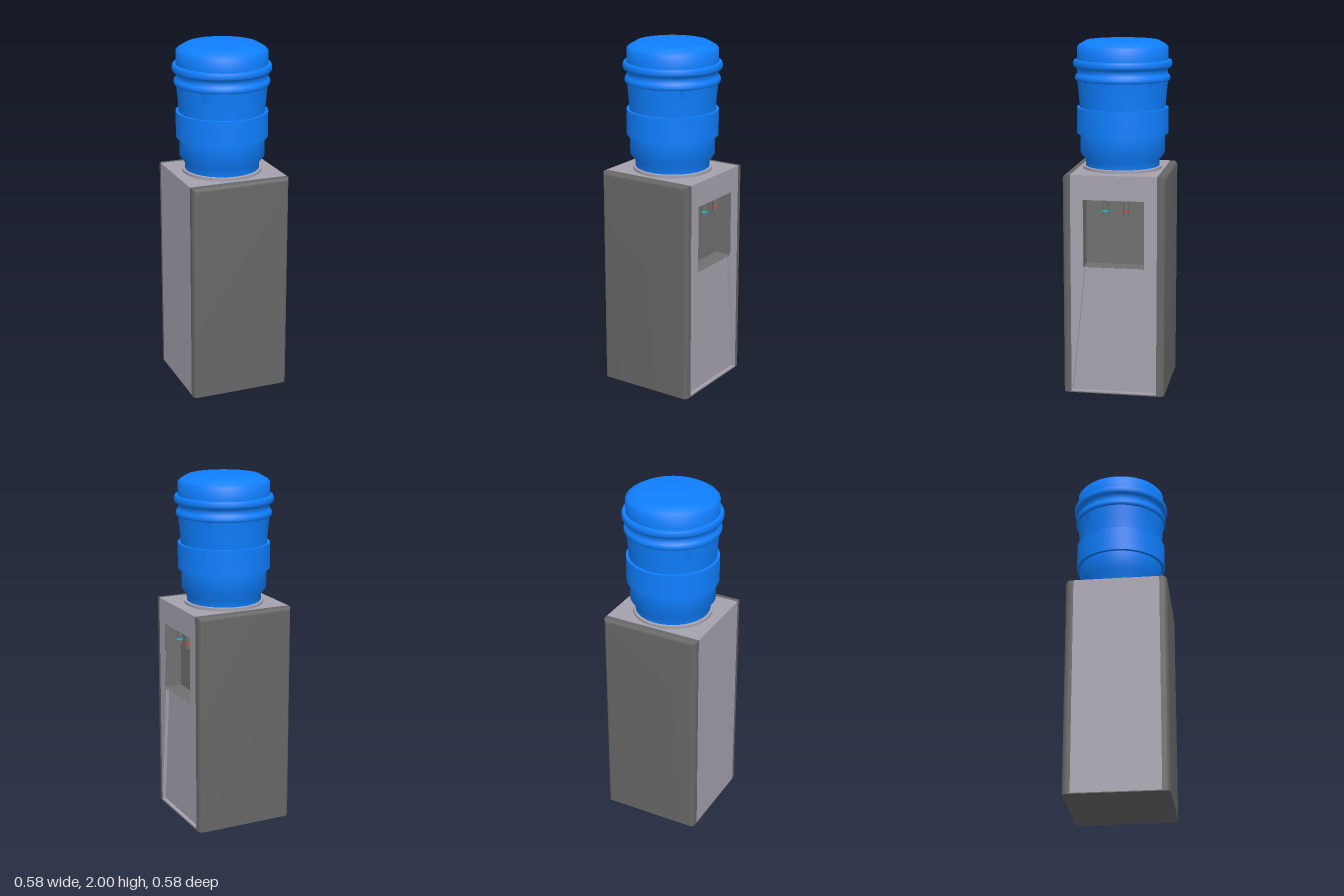
import * as THREE from 'three';
import { toCreasedNormals } from 'three/addons/utils/BufferGeometryUtils.js';

const material = (color) => new THREE.MeshStandardMaterial({ color });

function rectPath(Type, halfW, y0, y1) {
  return trapezoid(Type, halfW, halfW, y0, y1);
}

function trapezoid(Type, bottomHalf, topHalf, y0, y1) {
  const p = new Type();
  p.moveTo(-bottomHalf, y0);
  p.lineTo(bottomHalf, y0);
  p.lineTo(topHalf, y1);
  p.lineTo(-topHalf, y1);
  p.closePath();
  return p;
}

// Plate facing +x, from x0 to x1, with cut-outs
function plate(shape, holes, x0, x1) {
  shape.holes.push(...holes);
  const g = new THREE.ExtrudeGeometry(shape, { depth: x1 - x0, bevelEnabled: false });
  return g.rotateY(Math.PI / 2).translate(x0, 0, 0);
}

// Side panel: sections along z, drawn in at the vertical and top edges
function sidePanelGeometry() {
  const sections = [[0.245, 0], [0.266, 0], [0.276, 0.003], [0.284, 0.009], [0.289, 0.017], [0.29, 0.025]];
  const n = sections.length - 1;
  const g = new THREE.BoxGeometry(1, 1, 1, 1, 1, n);
  const pos = g.attributes.position;
  for (let i = 0; i < pos.count; i++) {
    const [z, inset] = sections[Math.round((pos.getZ(i) + 0.5) * n)];
    const x = Math.sign(pos.getX(i)) * (0.29 - inset);
    pos.setXYZ(i, x, pos.getY(i) > 0 ? 1.27 - inset : 0, z);
  }
  return toCreasedNormals(g, 0.6);
}

export function createModel() {
  const model = new THREE.Group();
  const dark = material(0x666666);
  const light = material(0xa5a2ad);
  const nicheGrey = material(0x707070);
  const blue = material(0x0f7fff);

  const add = (name, geometry, mat, parent = model) => {
    const mesh = new THREE.Mesh(geometry, mat);
    mesh.name = name;
    parent.add(mesh);
    return mesh;
  };

  // Cabinet core behind the niche, and its base
  add('cabinetCore', new THREE.BoxGeometry(0.475, 1.265, 0.49).translate(-0.0525, 0.6375, 0), light);
  add('base', new THREE.BoxGeometry(0.58, 0.005, 0.49).translate(0, 0.0025, 0), dark);

  // Dispensing face: inner slab with the niche, outer skin with the door recess
  const niche = () => rectPath(THREE.Path, 0.173, 0.745, 1.13);
  const face = () => rectPath(THREE.Shape, 0.245, 0.005, 1.27);
  add('frontSlab', plate(face(), [niche()], 0.185, 0.27), light);
  const door = trapezoid(THREE.Path, 0.238, 0.165, 0.013, 0.735);
  add('frontSkin', plate(face(), [niche(), door], 0.27, 0.29), light);

  // Niche lining
  const inner = rectPath(THREE.Path, 0.171, 0.747, 1.128);
  add('nicheWalls', plate(rectPath(THREE.Shape, 0.173, 0.745, 1.13), [inner], 0.187, 0.289), nicheGrey);
  add('nicheBack', new THREE.BoxGeometry(0.005, 0.381, 0.342).translate(0.1885, 0.9375, 0), nicheGrey);

  // Rounded side panels, mirrored by a half turn
  const sideGeometry = sidePanelGeometry();
  add('leftSidePanel', sideGeometry, dark);
  add('rightSidePanel', sideGeometry, dark).rotation.y = Math.PI;

  // Cold and hot taps
  for (const [name, z, color] of [['coldTap', 0.052, 0x16c8d8], ['hotTap', -0.064, 0xe04030]]) {
    const tap = new THREE.Group();
    tap.name = name;
    tap.position.set(0.25, 0, z);
    add('spout', new THREE.CylinderGeometry(0.017, 0.017, 0.09, 24).translate(0, 1.085, 0), nicheGrey, tap);
    add('colourRing', new THREE.CylinderGeometry(0.0178, 0.0178, 0.01, 24).translate(0, 1.066, 0), material(color), tap);
    model.add(tap);
  }

  // Collar and water bottle share one axis
  const lathe = (points) => toCreasedNormals(
    new THREE.LatheGeometry(points.map(([r, y]) => new THREE.Vector2(r, y)), 64), 0.9);
  const top = new THREE.Group();
  top.name = 'bottleAssembly';
  top.position.set(-0.003, 0, -0.005);
  model.add(top);

  add('collar', lathe([[0.19, 1.265], [0.226, 1.265], [0.226, 1.286], [0.215, 1.288], [0.19, 1.288]]), light, top);
  add('bottle', lathe([
    [0, 1.27], [0.212, 1.27], [0.212, 1.322], [0.242, 1.362], [0.242, 1.473],
    [0.261, 1.473], [0.261, 1.62], [0.244, 1.62], [0.25, 1.70], [0.258, 1.772],
    [0.266, 1.774], [0.27, 1.782], [0.27, 1.795], [0.265, 1.805],
    [0.257, 1.812], [0.257, 1.835], [0.265, 1.846], [0.276, 1.85], [0.28, 1.86],
    [0.28, 1.878], [0.275, 1.888], [0.258, 1.89], [0.258, 1.962],
    [0.247, 1.974], [0.205, 1.998], [0.19, 2], [0, 2],
  ]), blue, top);

  return model;
}
